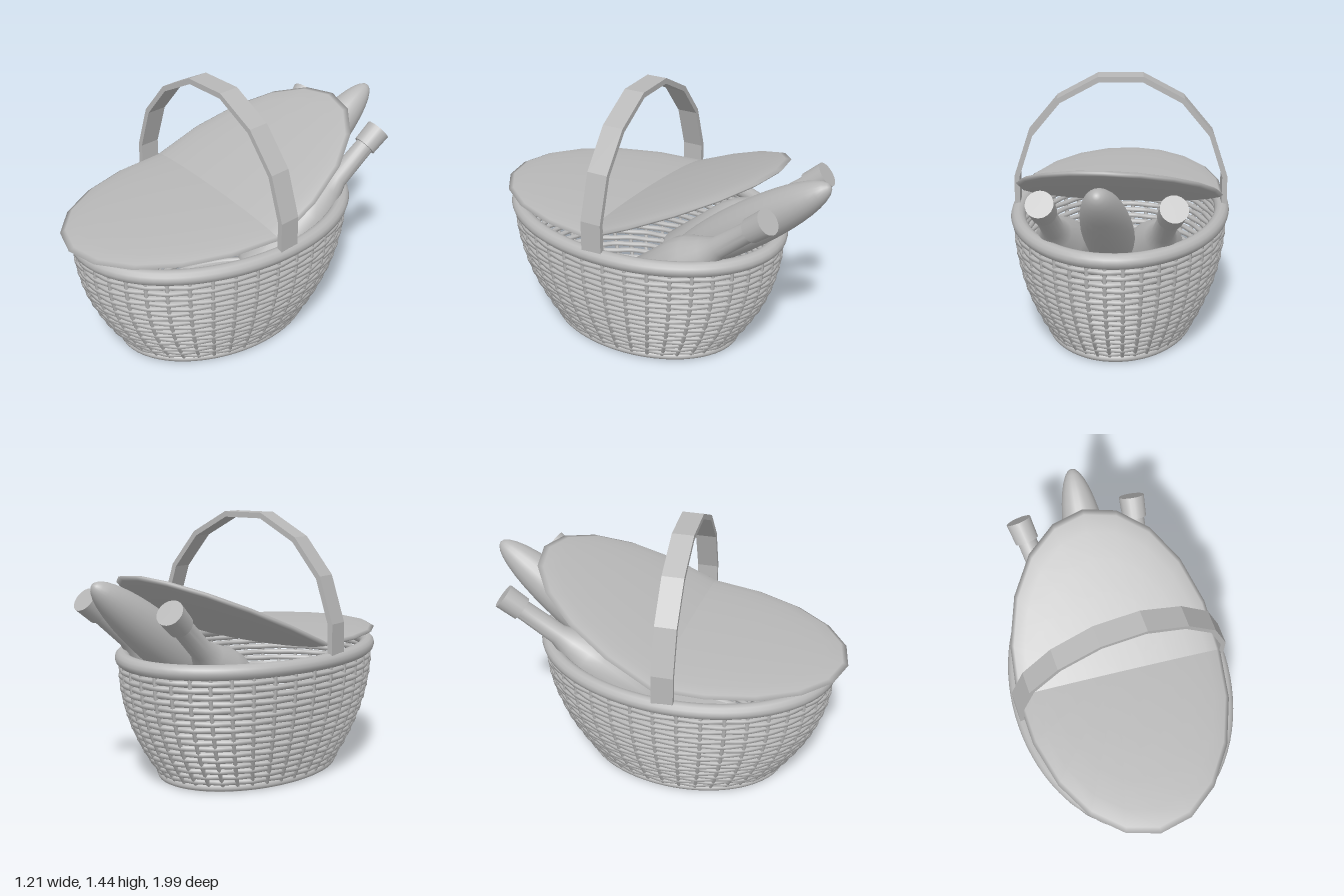
import * as THREE from 'three';
import { toCreasedNormals } from 'three/addons/utils/BufferGeometryUtils.js';

const CZ = 0.113; // centre of the oval basket along z
const STAKES = 40;
const ROWS = 17;

// Half-widths of the bulging wall at height y
function wall(y) {
  const t = (y - 0.05) / 0.6;
  const f = 1 - (1 - t) * (1 - t);
  return { rx: 0.415 + 0.16 * f, rz: 0.575 + 0.225 * f };
}

// Horizontal oval with an optional in-and-out weave
class OvalCurve extends THREE.Curve {
  constructor(rx, rz, y, weave = 0, phase = 0) {
    super();
    Object.assign(this, { rx, rz, y, weave, phase });
  }
  getPoint(t, target = new THREE.Vector3()) {
    const a = t * Math.PI * 2;
    const w = this.weave * Math.cos(a * STAKES / 2 + this.phase);
    return target.set((this.rx + w) * Math.sin(a), this.y, CZ + (this.rz + w) * Math.cos(a));
  }
}

export function createModel() {
  const model = new THREE.Group();
  model.name = 'picnicBasket';
  const grey = new THREE.MeshStandardMaterial({ color: 0xb8b8b8 });
  grey.name = 'plain grey';

  const add = (name, geometry, parent = model) => {
    const mesh = new THREE.Mesh(geometry, grey);
    mesh.name = name;
    parent.add(mesh);
    return mesh;
  };
  const group = (name) => {
    const g = new THREE.Group();
    g.name = name;
    model.add(g);
    return g;
  };

  // Woven wall: horizontal rods, alternating around the stakes
  const weave = group('wovenWall');
  for (let i = 0; i < ROWS; i++) {
    const y = 0.066 + i * 0.0355;
    const { rx, rz } = wall(y);
    const curve = new OvalCurve(rx, rz, y, 0.004, i % 2 ? Math.PI : 0);
    add('weaveRod', new THREE.TubeGeometry(curve, 160, 0.0165, 6, true), weave);
  }
  // Upright stakes following the wall profile
  for (let k = 0; k < STAKES; k++) {
    const a = k / STAKES * Math.PI * 2;
    const points = [0.03, 0.15, 0.28, 0.42, 0.56, 0.68].map((y) => {
      const { rx, rz } = wall(y);
      return new THREE.Vector3((rx + 0.005) * Math.sin(a), y, CZ + (rz + 0.005) * Math.cos(a));
    });
    add('stake', new THREE.TubeGeometry(new THREE.CatmullRomCurve3(points), 14, 0.012, 6), weave);
  }

  // Rim, foot ring and floor
  add('rim', new THREE.TubeGeometry(new OvalCurve(0.565, 0.795, 0.69), 72, 0.041, 12, true));
  add('footRing', new THREE.TubeGeometry(new OvalCurve(0.405, 0.57, 0.03), 72, 0.021, 8, true));
  const floor = add('floor', new THREE.CylinderGeometry(1, 1, 0.03, 64));
  floor.scale.set(0.41, 1, 0.575);
  floor.position.set(0, 0.025, CZ);

  // Two padded half-oval lids hinged under the handle
  const lid = (name, start, tilt, length) => {
    const g = group(name);
    const shell = add(name + 'Shell', new THREE.SphereGeometry(1, 10, 12, start, Math.PI), g);
    const end = add(name + 'End', new THREE.CircleGeometry(1, 24), g);
    if (start === 0) end.rotation.y = Math.PI;
    shell.scale.set(0.57, 0.05, length);
    end.scale.set(0.57, 0.05, 1);
    g.position.set(0, 0.78, 0.1);
    g.rotation.x = tilt;
  };
  lid('frontLid', 0, 0.025, 0.9);
  lid('backLid', Math.PI, 0.435, 0.905);

  // Faceted flat band handle, slightly twisted around the upright axis
  const outer = [[0.59, 0.7], [0.588, 0.885], [0.507, 1.13], [0.345, 1.325], [0.122, 1.445]];
  const inner = [[0.56, 0.7], [0.56, 0.88], [0.483, 1.115], [0.33, 1.3], [0.117, 1.415]];
  const mirror = (list) => list.map(([x, y]) => [-x, y]).reverse();
  const outline = [...outer, ...mirror(outer), ...mirror(inner).reverse(), ...inner.slice().reverse()];
  const band = new THREE.Shape(outline.map(([x, y]) => new THREE.Vector2(x, y)));
  const bandGeometry = new THREE.ExtrudeGeometry(band, { depth: 0.115, bevelEnabled: false });
  bandGeometry.translate(0, 0, -0.0575);
  const handle = add('handle', bandGeometry);
  handle.position.z = 0.107;
  handle.rotation.y = 0.1;

  // Points a y-axis part along a direction
  const up = new THREE.Vector3(0, 1, 0);
  const aim = (object, x, y, z) =>
    object.quaternion.setFromUnitVectors(up, new THREE.Vector3(x, y, z).normalize());

  // Long loaf leaning out of the back
  const loaf = add('loaf', new THREE.SphereGeometry(1, 20, 20));
  loaf.scale.set(0.13, 0.61, 0.13);
  loaf.position.set(0, 0.77, -0.505);
  aim(loaf, 0, 0.61, -0.79);

  // Two bottles, turned around their axis with the cap end at the origin
  const profile = [[0, -1.05], [0.14, -1.05], [0.15, -1.03], [0.15, -0.62], [0.13, -0.54],
    [0.085, -0.44], [0.058, -0.36], [0.053, -0.11]].map(([r, y]) => new THREE.Vector2(r, y));
  const bottleGeometry = toCreasedNormals(new THREE.LatheGeometry(profile, 18), 0.6);
  const capGeometry = new THREE.CylinderGeometry(0.07, 0.066, 0.12, 18);
  capGeometry.translate(0, -0.06, 0);
  const bottle = (name, x, lean) => {
    const g = group(name);
    add('bottleGlass', bottleGeometry, g);
    add('bottleCap', capGeometry, g);
    g.position.set(x, 1.025, -0.81);
    aim(g, lean, 0.64, -0.77);
  };
  bottle('leftBottle', 0.295, 0.04);
  bottle('rightBottle', -0.345, -0.19);

  return model;
}
